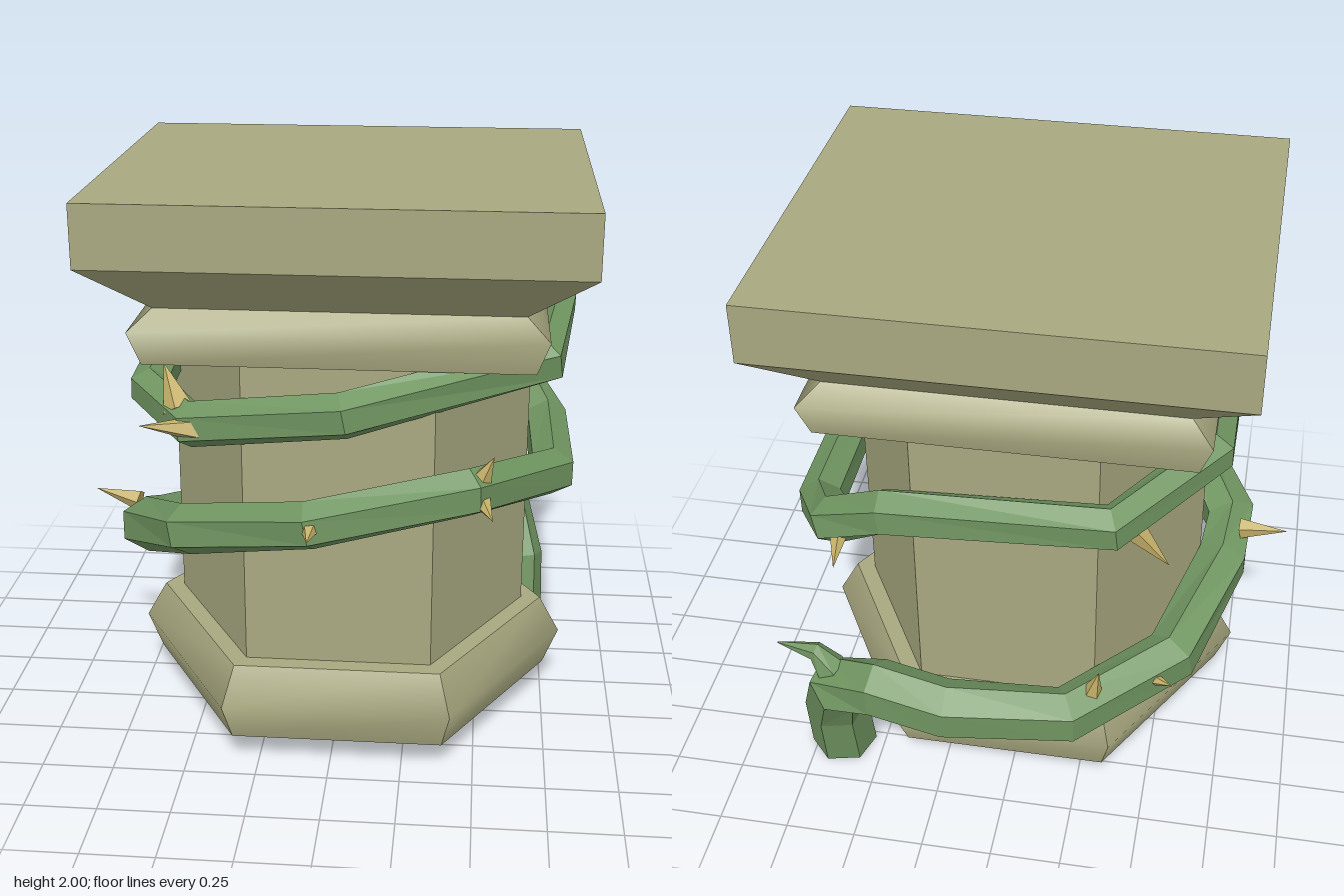
import * as THREE from 'three';
import { mergeGeometries } from 'three/addons/utils/BufferGeometryUtils.js';

const V = (p) => new THREE.Vector3(...p);
const CENTRE = new THREE.Vector3(0.025, 0, 0.035);

const HEX = Array.from({ length: 6 }, (_, i) => [Math.cos(i * Math.PI / 3), Math.sin(i * Math.PI / 3)]);
const SQUARE = [[1, -1], [1, 1], [-1, 1], [-1, -1]];

function gridGeometry(positions, index) {
  const g = new THREE.BufferGeometry();
  g.setAttribute('position', new THREE.Float32BufferAttribute(positions, 3));
  g.setIndex(index);
  return g;
}

// Sweeps profiles of [halfX, y, halfZ] around a polygon: each side is smooth
// along its profile and sharp at the corners and between profiles.
function prism(polygon, profiles) {
  const strips = [];
  for (const profile of profiles) {
    polygon.forEach((a, i) => {
      const b = polygon[(i + 1) % polygon.length];
      const pos = [], idx = [];
      profile.forEach(([hx, y, hz = hx], j) => {
        pos.push(a[0] * hx, y, a[1] * hz, b[0] * hx, y, b[1] * hz);
        if (j) {
          const r = 2 * j - 2;
          idx.push(r + 1, r, r + 2, r + 1, r + 2, r + 3);
        }
      });
      const g = gridGeometry(pos, idx);
      g.computeVertexNormals();
      strips.push(g);
    });
  }
  return mergeGeometries(strips).translate(CENTRE.x, 0, CENTRE.z);
}

// Six-sided faceted tube through points of [x, y, z, radius]
function stem(points, fixedRef) {
  const SIDES = 6, pos = [], idx = [];
  const centres = points.map((p) => V(p.slice(0, 3)));
  for (let k = 0; k < SIDES; k++) pos.push(...centres[0].toArray()); // closes the start
  centres.forEach((c, i) => {
    const t = centres[Math.min(i + 1, centres.length - 1)].clone()
      .sub(centres[Math.max(i - 1, 0)]).normalize();
    if (i === 0 && c.y === 0) t.set(0, 1, 0); // flat cut on the ground
    const n = fixedRef ? fixedRef.clone() : c.clone().sub(CENTRE).setY(0);
    n.addScaledVector(t, -n.dot(t)).normalize();
    const b = t.clone().cross(n);
    for (let k = 0; k < SIDES; k++) {
      const a = (k + 0.5) * 2 * Math.PI / SIDES;
      const q = c.clone().addScaledVector(n, Math.cos(a) * points[i][3])
        .addScaledVector(b, Math.sin(a) * points[i][3]);
      pos.push(q.x, Math.max(q.y, 0), q.z);
    }
  });
  for (let i = 0; i < points.length; i++) {
    for (let k = 0; k < SIDES; k++) {
      const a = i * SIDES + k, b = i * SIDES + (k + 1) % SIDES;
      idx.push(a, b, b + SIDES, a, b + SIDES, a + SIDES);
    }
  }
  const g = gridGeometry(pos, idx).toNonIndexed();
  g.computeVertexNormals();
  return g;
}

// Five-sided thorn from a base point to a tip
function thorn(base, tip, radius) {
  const from = V(base), dir = V(tip).sub(from), len = dir.length();
  const g = new THREE.ConeGeometry(radius, len, 5).translate(0, len / 2, 0);
  g.applyQuaternion(new THREE.Quaternion().setFromUnitVectors(new THREE.Vector3(0, 1, 0), dir.normalize()));
  return g.translate(from.x, from.y, from.z);
}

export function createModel() {
  const group = new THREE.Group();
  const stone = new THREE.MeshStandardMaterial({ color: 0xa8a880 });
  const hollowStone = new THREE.MeshStandardMaterial({ color: 0xa8a880, side: THREE.DoubleSide });
  const green = new THREE.MeshStandardMaterial({ color: 0x6f9460, flatShading: true });
  const gold = new THREE.MeshStandardMaterial({ color: 0xc4b068, flatShading: true });
  const add = (name, geometry, material) => {
    const mesh = new THREE.Mesh(geometry, material);
    mesh.name = name;
    group.add(mesh);
  };

  // Hexagonal shaft, open underneath
  add('columnShaft', prism(HEX, [[[0.64, 0.34], [0.64, 1.46]]]), hollowStone);

  // Hollow hexagonal foot with a bulging outer face
  add('baseRing', prism(HEX, [
    [[0.73, 0.1], [0.785, 0.235], [0.71, 0.37]],
    [[0.71, 0.37], [0.63, 0.37]],
    [[0.63, 0.34], [0.67, 0.34]].reverse().map((p) => p).reverse(),
    [[0.67, 0.34], [0.67, 0.1]],
    [[0.67, 0.1], [0.73, 0.1]],
  ]), hollowStone);

  // Square collar under the capital
  add('collar', prism(SQUARE, [
    [[0, 1.44, 0], [0.64, 1.44, 0.57]],
    [[0.64, 1.44, 0.57], [0.68, 1.555, 0.6], [0.605, 1.62, 0.53]],
  ]), stone);

  // Flared capital and its slab
  add('capital', prism(SQUARE, [
    [[0.605, 1.62, 0.53], [0.815, 1.79, 0.715]],
    [[0.815, 1.79, 0.715], [0.815, 2, 0.715]],
    [[0.815, 2, 0.715], [0, 2, 0]],
  ]), stone);

  // Vine winding up from the ground
  add('vine', stem([
    [0.655, 0, -0.55, 0.12], [0.655, 0.25, -0.6, 0.115], [0.61, 0.44, -0.69, 0.11],
    [0.45, 0.5, -0.74, 0.105], [0.2, 0.47, -0.77, 0.105], [-0.22, 0.44, -0.7, 0.1],
    [-0.56, 0.5, -0.4, 0.1], [-0.7, 0.62, 0.02, 0.1], [-0.71, 0.69, 0.2, 0.1],
    [-0.5, 0.83, 0.54, 0.09], [-0.06, 0.94, 0.72, 0.085], [0.46, 1.03, 0.61, 0.085],
    [0.75, 0.95, 0.2, 0.085], [0.74, 0.96, -0.3, 0.085], [0.62, 1.08, -0.54, 0.085],
    [0.42, 1.19, -0.6, 0.085], [-0.35, 1.23, -0.6, 0.08], [-0.65, 1.31, -0.24, 0.075],
    [-0.65, 1.26, 0.32, 0.075], [-0.47, 1.22, 0.56, 0.08], [0.05, 1.31, 0.68, 0.08],
    [0.7, 1.44, 0.45, 0.08], [0.755, 1.52, 0.02, 0.065], [0.78, 1.65, -0.14, 0.06],
    [0.82, 1.7, -0.23, 0.055], [0.925, 1.68, -0.4, 0.003],
  ]), green);

  // Short curled shoot near the root
  add('shoot', stem([
    [0.61, 0.4, -0.69, 0.07], [0.635, 0.51, -0.68, 0.06],
    [0.69, 0.57, -0.67, 0.035], [0.83, 0.58, -0.66, 0.003],
  ], new THREE.Vector3(0, 0, 1)), green);

  // Thorns: base, tip, radius
  const thorns = [
    [[-0.76, 0.73, 0.08], [-0.93, 0.76, 0.05], 0.04],
    [[-0.51, 1.26, 0.53], [-0.57, 1.4, 0.46], 0.055],
    [[-0.44, 1.22, 0.6], [-0.62, 1.25, 0.67], 0.045],
    [[0.49, 1.05, 0.6], [0.54, 1.165, 0.63], 0.045],
    [[0.5, 1.01, 0.62], [0.54, 0.98, 0.73], 0.035],
    [[-0.05, 0.95, 0.77], [-0.05, 0.945, 0.87], 0.03],
    [[0.6, 1.05, -0.52], [0.57, 1.03, -0.73], 0.045],
    [[-0.41, 1.2, -0.55], [-0.54, 1.06, -0.56], 0.045],
    [[-0.3, 0.49, -0.65], [-0.33, 0.64, -0.68], 0.045],
    [[-0.47, 0.48, -0.5], [-0.58, 0.53, -0.59], 0.04],
  ];
  add('thorns', mergeGeometries(thorns.map((t) => thorn(...t))), gold);

  return group;
}
